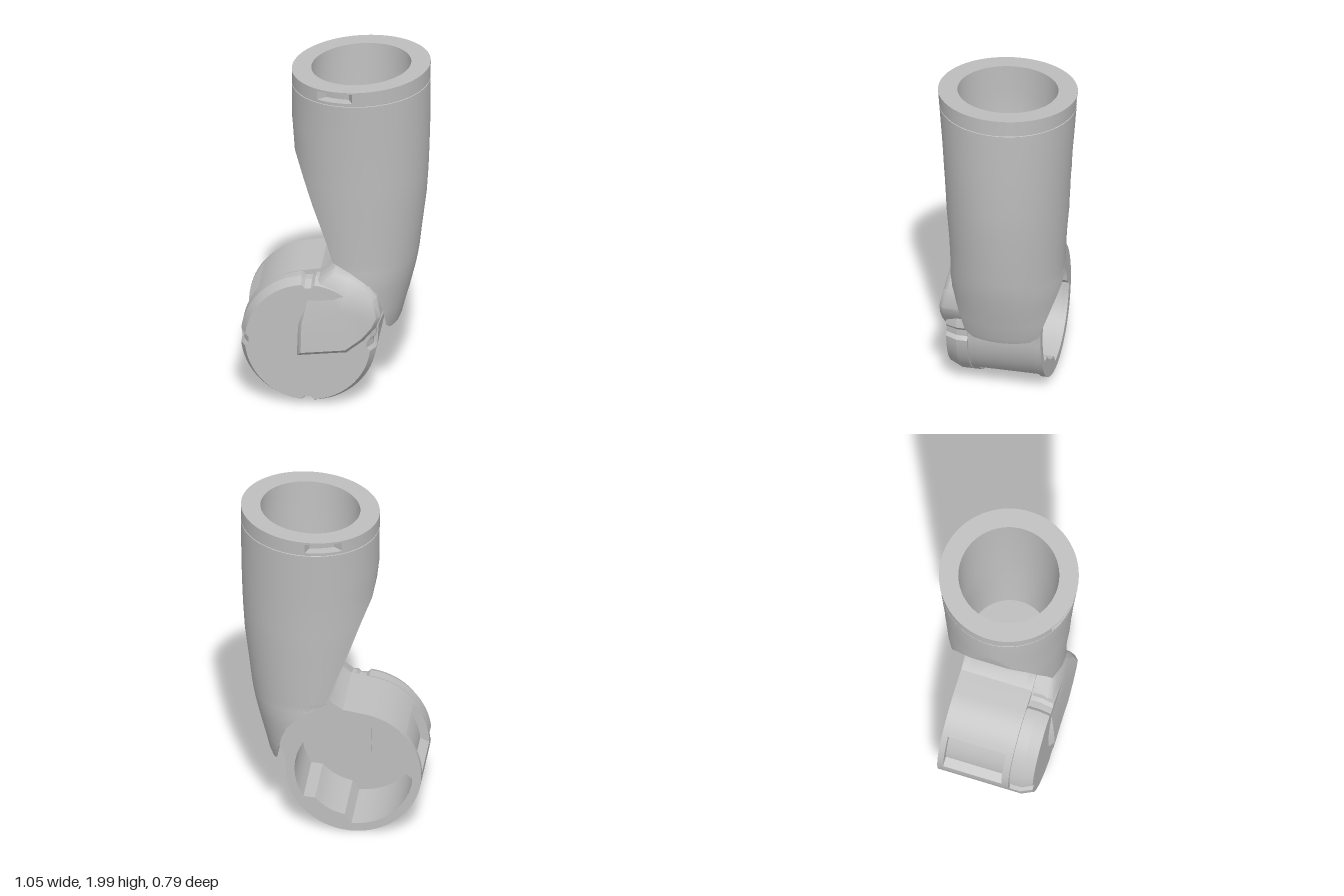
import * as THREE from 'three';
import { toCreasedNormals } from 'three/addons/utils/BufferGeometryUtils.js';

const grey = new THREE.MeshStandardMaterial({ color: 0xbebebe, side: THREE.DoubleSide });
grey.name = 'grey plastic';

const CX = -0.14, CY = 0.39, R = 0.385;   // joint drum axis and radius
const TC = 0.13;                          // sleeve axis
const POCKETS = [160, 297];               // directions of the drum pockets, in degrees
const lerp = THREE.MathUtils.lerp;
const rad = THREE.MathUtils.degToRad;

function add(group, name, geometry, crease = 0.6) {
  const mesh = new THREE.Mesh(toCreasedNormals(geometry, crease), grey);
  mesh.name = name;
  group.add(mesh);
}

// Skin over closed loops that all have the same number of points
function loft(rows) {
  const n = rows[0].length, index = [];
  for (let i = 0; i < rows.length - 1; i++) {
    for (let j = 0; j < n; j++) {
      const k = (j + 1) % n, a = i * n + j, b = i * n + k;
      index.push(a, a + n, b, b, a + n, b + n);
    }
  }
  const geometry = new THREE.BufferGeometry();
  geometry.setAttribute('position', new THREE.Float32BufferAttribute(rows.flat(2), 3));
  geometry.setIndex(index);
  geometry.computeVertexNormals();
  return geometry;
}

// Sleeve sections: height, right edge x, half depth z, x of the slanted or arched cut
const SECTIONS = [
  [0.43, 0.35, 0.29, 0.31], [0.46, 0.362, 0.3, 0.293], [0.55, 0.385, 0.305, 0.28],
  [0.62, 0.405, 0.31, 0.262], [0.70, 0.425, 0.32, 0.23], [0.76, 0.44, 0.325, 0.18],
  [0.82, 0.452, 0.325, 0.10], [0.87, 0.46, 0.325, 0.0], [1.0, 0.475, 0.33, -0.045],
  [1.2, 0.5, 0.345, -0.122], [1.35, 0.51, 0.352, -0.178], [1.48, 0.515, 0.36, -0.235],
  [1.65, 0.52, 0.37, -0.5], [1.975, 0.522, 0.395, -0.5],
];

function sectionAt(y) {
  let i = 0;
  while (i < SECTIONS.length - 2 && y > SECTIONS[i + 1][0]) i++;
  const a = SECTIONS[i], b = SECTIONS[i + 1], t = (y - a[0]) / (b[0] - a[0]);
  return a.map((v, k) => lerp(v, b[k], t));
}

// Loop of the sleeve: an ellipse with its -x side cut straight
function sleeveLoop(y, inset = 0, slotted = false) {
  const [, right, depth, cut] = sectionAt(y);
  const rx = right - TC - inset, rz = depth - inset;
  const limit = Math.acos(THREE.MathUtils.clamp((cut + inset * 0.8 - TC) / rx, -1, 1));
  const loop = [], n = 90;
  for (let j = 0; j <= n; j++) {
    const t = lerp(-limit, limit, j / n), at = Math.abs(t);
    const s = slotted && at > rad(93) && at < rad(122) ? 0.86 : 1;
    const x = TC + Math.cos(t) * rx * s, z = Math.sin(t) * rz * s;
    const tilt = Math.max(0, (y - 1.65) / 0.325) * 0.064 * (x - TC);
    loop.push([x, y + tilt, z]);
  }
  return loop;
}

function closeLoop(loop) {
  const c = [0, 1, 2].map(k => loop.reduce((s, p) => s + p[k], 0) / loop.length);
  return loop.map(() => c);
}

function sleeve(group) {
  const bottom = sleeveLoop(0.43), floor = sleeveLoop(0.92, 0.1);
  const rows = [closeLoop(bottom), bottom];
  SECTIONS.slice(1, -1).forEach(s => rows.push(sleeveLoop(s[0])));
  // seam groove, then the collar with its two slots
  rows.push(sleeveLoop(1.882), sleeveLoop(1.884, 0.004), sleeveLoop(1.887, 0.004), sleeveLoop(1.889));
  rows.push(sleeveLoop(1.905), sleeveLoop(1.906, 0, true), sleeveLoop(1.962, 0, true), sleeveLoop(1.963));
  // flat rim and hollow inside
  rows.push(sleeveLoop(1.975), sleeveLoop(1.975, 0.11));
  [1.8, 1.48, 1.2].forEach(y => rows.push(sleeveLoop(y, 0.105)));
  rows.push(floor, closeLoop(floor));
  add(group, 'sleeve', loft(rows));
}

// Drum outline joined to the neck, with a lugged bore where hollow
function drumShape(pockets, hollow) {
  const near = (d, half) => POCKETS.some(p => Math.abs(d - p) <= half);
  const polar = (d, r) => new THREE.Vector2(CX + r * Math.cos(rad(d)), CY + r * Math.sin(rad(d)));
  const pts = [];
  for (let d = 100; d <= 360; d += 4) pts.push(polar(d, pockets && near(d, 18) ? 0.335 : R));
  [[0.25, 0.46], [0.285, 0.55], [0.27, 0.63], [0.24, 0.71], [0.19, 0.77], [0.11, 0.825],
    [0.01, 0.875], [-0.02, 0.83], [-0.08, 0.79]].forEach(p => pts.push(new THREE.Vector2(...p)));
  const shape = new THREE.Shape(pts);
  if (hollow) {
    const hole = [];
    for (let d = 0; d < 360; d += 8) hole.push(polar(d, near(d, 23) ? 0.285 : 0.335));
    shape.holes.push(new THREE.Path(hole));
  }
  return shape;
}

function drum(group) {
  const part = new THREE.Group();
  part.name = 'jointDrum';
  [['backRim', -0.215, -0.18, false, true], ['pocketBand', -0.18, 0.165, true, true],
    ['frontRim', 0.165, 0.205, false, false]].forEach(([name, z0, z1, pockets, hollow]) => {
    const geometry = new THREE.ExtrudeGeometry(drumShape(pockets, hollow), { depth: z1 - z0, bevelEnabled: false });
    geometry.translate(0, 0, z0);
    add(part, name, geometry, 0.4);
  });
  group.add(part);
}

// Chamfered end cap with four small edge notches
function endCap(group) {
  const ring = (z, r) => Array.from({ length: 120 }, (_, j) => {
    const d = -3 * j, fromNotch = Math.abs(((d % 90) + 135) % 90 - 45);
    const s = r > 0.1 && fromNotch < 4 ? r - 0.02 : r;
    return [CX + s * Math.cos(rad(d)), CY + s * Math.sin(rad(d)), z];
  });
  add(group, 'endCap', loft([ring(0.204, 0), ring(0.204, 0.365), ring(0.212, 0.365), ring(0.212, R),
    ring(0.275, R), ring(0.34, 0.355), ring(0.34, 0)]), 0.4);
}

// Raised boss linking cap and sleeve, its face sloping back towards the top
function boss(group) {
  const outline = [[-0.2, 0.31], [0.08, 0.34], [0.18, 0.42], [0.245, 0.5], [0.275, 0.57], [0.25, 0.68],
    [0.19, 0.76], [0.1, 0.81], [0.01, 0.84], [-0.08, 0.77], [-0.16, 0.66], [-0.195, 0.5]];
  const cx = 0.03, cy = 0.56;
  const loop = (z, s) => outline.map(([x, y]) => {
    const px = cx + (x - cx) * s, py = cy + (y - cy) * s;
    const slope = z > 0.2 ? Math.max(0, py - 0.57) * 0.2 + Math.max(0, py - 0.4) * Math.max(0, -px) * 0.4 : 0;
    return [px, py, z - slope];
  }).reverse();
  const back = loop(0.15, 1), face = loop(0.37, 0.9);
  add(group, 'capBoss', loft([closeLoop(back), back, loop(0.345, 1), face, closeLoop(face)]), 0.8);
}

export function createModel() {
  const model = new THREE.Group();
  model.name = 'armLink';
  sleeve(model);
  drum(model);
  endCap(model);
  boss(model);
  return model;
}
